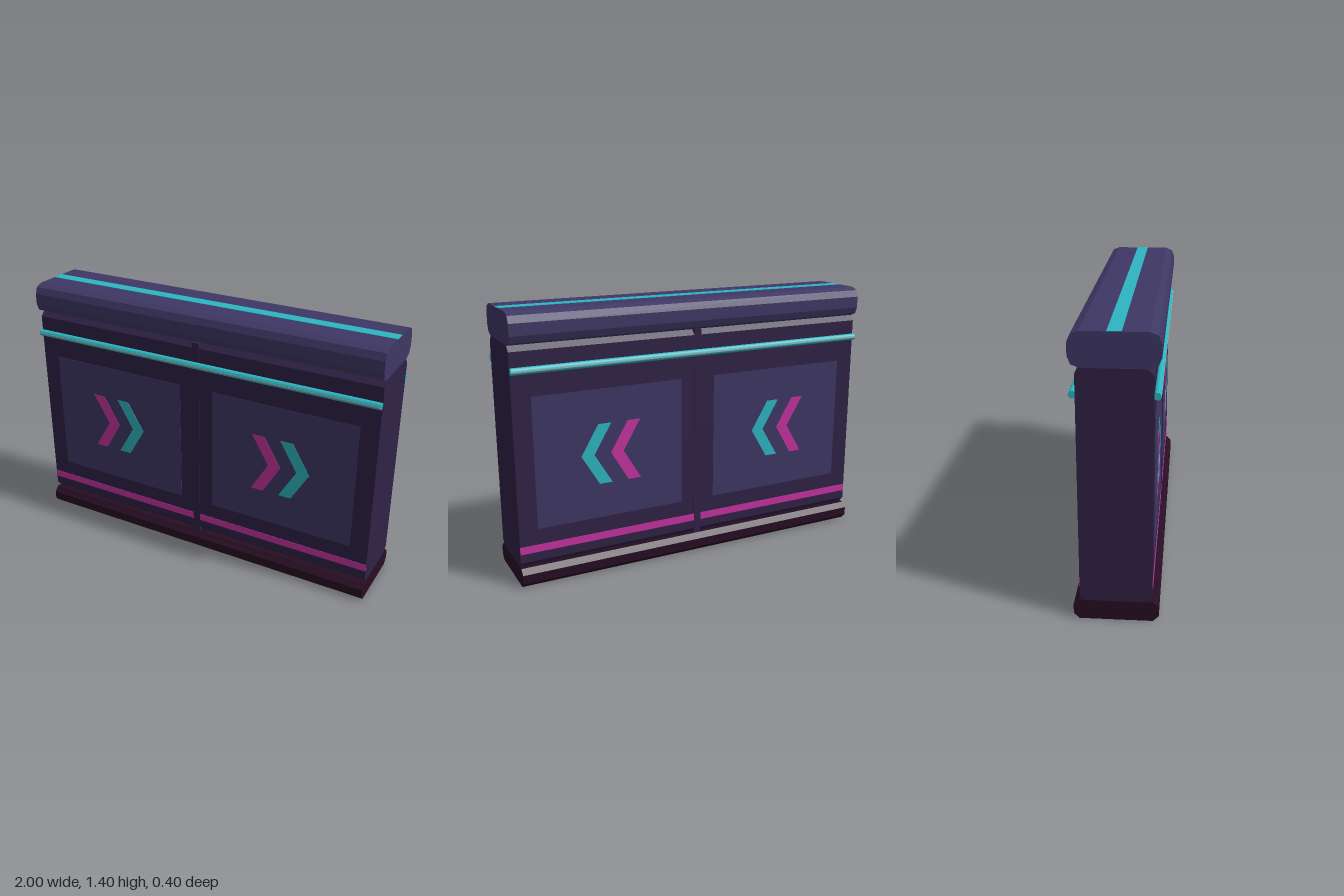
import * as THREE from 'three';

const mat = (name, color) => {
  const m = new THREE.MeshStandardMaterial({ color });
  m.name = name;
  return m;
};

export function createModel() {
  const wall = new THREE.Group();
  wall.name = 'barrierWall';

  const bodyPurple = mat('deep purple', 0x2f2246);
  const panelPurple = mat('slate purple', 0x3e3764);
  const basePlum = mat('dark plum', 0x270d22);
  const teal = mat('neon teal', 0x2db6c2);
  const pink = mat('neon pink', 0xc4339f);
  const pale = mat('pale glow', 0x9db5b5);

  const add = (name, geometry, material, x = 0, y = 0, z = 0) => {
    const mesh = new THREE.Mesh(geometry, material);
    mesh.name = name;
    mesh.position.set(x, y, z);
    wall.add(mesh);
    return mesh;
  };
  const box = (name, w, h, d, material, x, y, z) =>
    add(name, new THREE.BoxGeometry(w, h, d), material, x, y, z);

  // Beam along x whose (z, y) section is a box with corners cut in `steps` facets
  const beam = (name, halfDepth, y0, y1, r, steps, material) => {
    const pts = [];
    const corners = [[1, 1], [-1, 1], [-1, -1], [1, -1]];
    corners.forEach(([sz, sy], q) => {
      const cz = sz * (halfDepth - r);
      const cy = sy > 0 ? y1 - r : y0 + r;
      for (let i = 0; i <= steps; i++) {
        const a = (q + i / steps) * Math.PI / 2;
        pts.push(new THREE.Vector2(cz + r * Math.cos(a), cy + r * Math.sin(a)));
      }
    });
    const g = new THREE.ExtrudeGeometry(new THREE.Shape(pts), { depth: 2, bevelEnabled: false });
    g.translate(0, 0, -1).rotateY(Math.PI / 2);
    return add(name, g, material);
  };

  // Stacked main masses
  beam('base', 0.2, 0, 0.1, 0.027, 1, basePlum);
  beam('body', 0.17, 0.1, 1.24, 0.028, 1, bodyPurple);
  beam('topCap', 0.2, 1.24, 1.4, 0.05, 2, panelPurple);
  box('topStripe', 2, 0.004, 0.064, teal, 0, 1.4, 0);
  box('centreSeam', 0.04, 1.14, 0.346, bodyPurple, 0, 0.67, 0);

  // Arrow mark, pointing along +x
  const chevron = new THREE.Shape([
    [-0.08, 0.16], [-0.175, 0], [-0.08, -0.16], [-0.01, -0.16], [0.085, 0], [-0.01, 0.16],
  ].map(([x, y]) => new THREE.Vector2(x < -0.1 ? 0.015 : x, y)));
  const chevronGeo = new THREE.ExtrudeGeometry(chevron, { depth: 0.002, bevelEnabled: false });
  chevronGeo.translate(0, 0, -0.001);

  // Both faces carry the same details
  for (const side of [1, -1]) {
    const face = side > 0 ? 'front' : 'back';
    for (const half of [-1, 1]) {
      const label = face + (half > 0 ? 'Left' : 'Right');
      const x = half * 0.5;
      box(label + 'Panel', 0.806, 0.686, 0.004, panelPurple, x, 0.643, side * 0.17);
      box(label + 'LowerStripe', 0.98, 0.04, 0.004, pink, half * 0.51, 0.195, side * 0.17);
      add(label + 'PinkChevron', chevronGeo, pink, x - 0.085, 0.645, side * 0.1735);
      add(label + 'TealChevron', chevronGeo, teal, x + 0.075, 0.645, side * 0.1735);
    }
    // Light tube with its bright centre line
    const tube = new THREE.CylinderGeometry(0.018, 0.018, 2, 10);
    tube.rotateZ(Math.PI / 2);
    add(face + 'LightTube', tube, teal, 0, 1.12, side * 0.182);
    box(face + 'TubeHighlight', 2, 0.007, 0.002, pale, 0, 1.12, side * 0.1995);
  }

  return wall;
}
